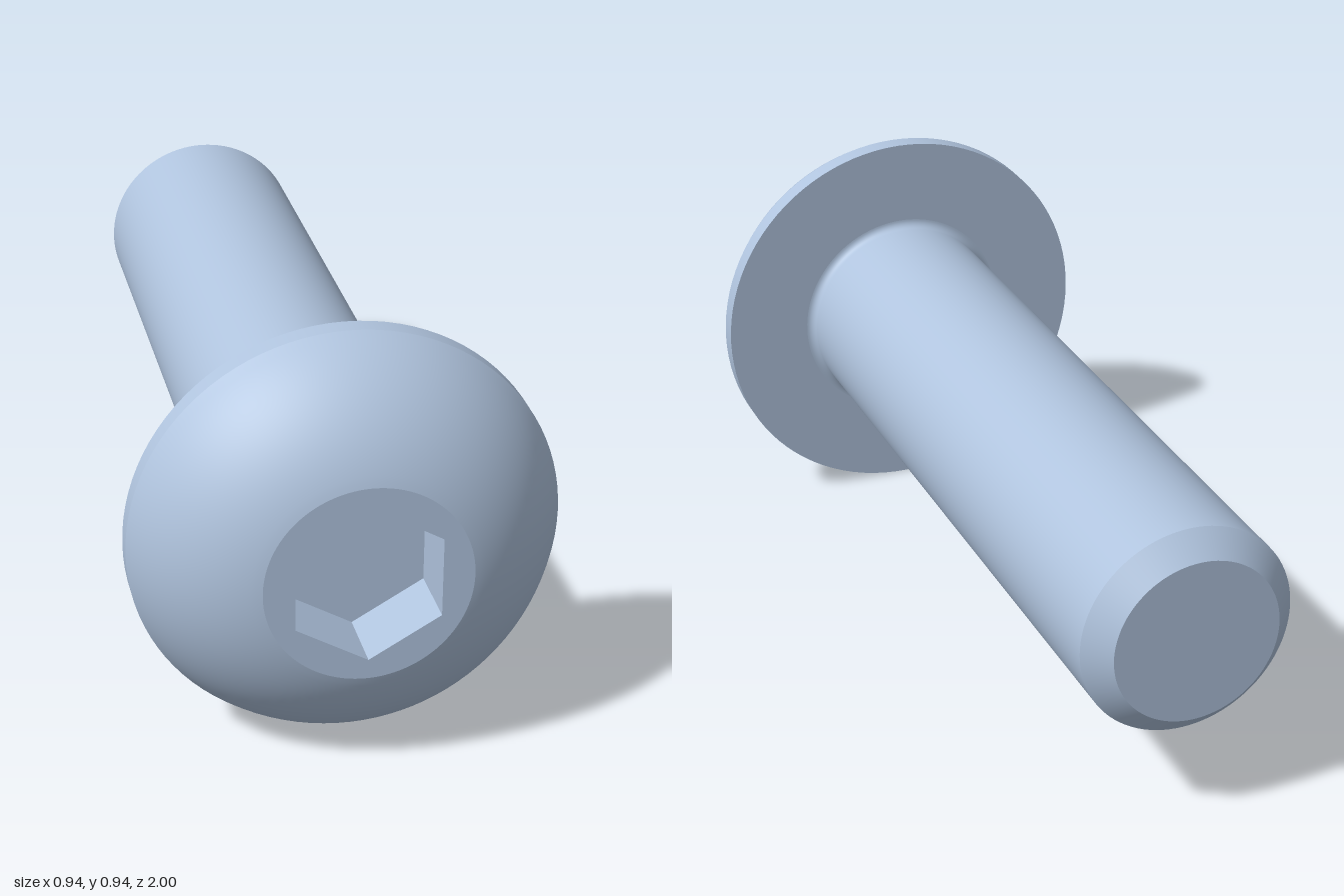
import * as THREE from 'three';

const STEEL = new THREE.MeshStandardMaterial({ color: 0xb0c4de });
STEEL.name = 'steel blue';

const AXIS_Y = 0.468;      // height of the screw axis
const HEAD_R = 0.468, FACE_R = 0.222, SHANK_R = 0.243, TIP_R = 0.19;
const HEAD_BACK = 0.73, RIM_FRONT = 0.775, TIP_START = -0.948;
const FILLET = 0.02, HEX_R = 0.178, SOCKET_DEPTH = 0.153;

export function createModel() {
  const screw = new THREE.Group();
  screw.name = 'buttonHeadScrew';
  screw.position.y = AXIS_Y;

  const add = (name, geometry) => {
    const mesh = new THREE.Mesh(geometry, STEEL);
    mesh.name = name;
    screw.add(mesh);
  };

  // Surface of revolution about z; profile of [radius, z] from back to front
  const turned = (name, profile) => {
    const points = profile.map(([r, z]) => new THREE.Vector2(r, z));
    add(name, new THREE.LatheGeometry(points, 96).rotateX(Math.PI / 2));
  };

  // Circular arc in the [radius, z] plane
  const arc = (cr, cz, radius, from, to, steps) =>
    Array.from({ length: steps + 1 }, (_, i) => {
      const a = from + (to - from) * i / steps;
      return [cr + radius * Math.cos(a), cz + radius * Math.sin(a)];
    });

  // Shank with chamfered tip, each band separate to keep its edges sharp
  turned('tipFace', [[0, -1], [TIP_R, -1]]);
  turned('tipChamfer', [[TIP_R, -1], [SHANK_R, TIP_START]]);
  turned('shank', [[SHANK_R, TIP_START], [SHANK_R, HEAD_BACK - FILLET]]);
  turned('underHeadFillet',
    arc(SHANK_R + FILLET, HEAD_BACK - FILLET, FILLET, Math.PI, Math.PI / 2, 8));

  // Head: flat underside, short straight rim, domed front
  turned('headUnderside', [[SHANK_R + FILLET, HEAD_BACK], [HEAD_R, HEAD_BACK]]);
  turned('headRim', [[HEAD_R, HEAD_BACK], [HEAD_R, RIM_FRONT]]);
  const domeR = 0.39, cr = 0.106, cz = 0.628;
  const dome = arc(cr, cz, domeR,
    Math.atan2(RIM_FRONT - cz, HEAD_R - cr), Math.atan2(1 - cz, FACE_R - cr), 28);
  dome[0] = [HEAD_R, RIM_FRONT];
  dome[dome.length - 1] = [FACE_R, 1];
  turned('headDome', dome);

  // Flat front face with the hexagonal opening
  const face = new THREE.Shape().absarc(0, 0, FACE_R, 0, Math.PI * 2, false);
  const corners = Array.from({ length: 6 }, (_, i) => {
    const a = Math.PI / 2 - i * Math.PI / 3;
    return new THREE.Vector2(HEX_R * Math.cos(a), HEX_R * Math.sin(a));
  });
  face.holes.push(new THREE.Path(corners));
  add('headFace', new THREE.ShapeGeometry(face, 96).translate(0, 0, 1));

  // Socket walls, mirrored so that they face inward, and the socket floor
  const walls = new THREE.CylinderGeometry(HEX_R, HEX_R, SOCKET_DEPTH, 6, 1, true)
    .toNonIndexed()
    .rotateX(Math.PI / 2)
    .scale(-1, 1, 1)
    .translate(0, 0, 1 - SOCKET_DEPTH / 2);
  walls.computeVertexNormals();
  add('socketWalls', walls);
  add('socketFloor', new THREE.CircleGeometry(HEX_R, 6, Math.PI / 2)
    .translate(0, 0, 1 - SOCKET_DEPTH));

  const model = new THREE.Group();
  model.name = 'screwModel';
  model.add(screw);
  return model;
}
